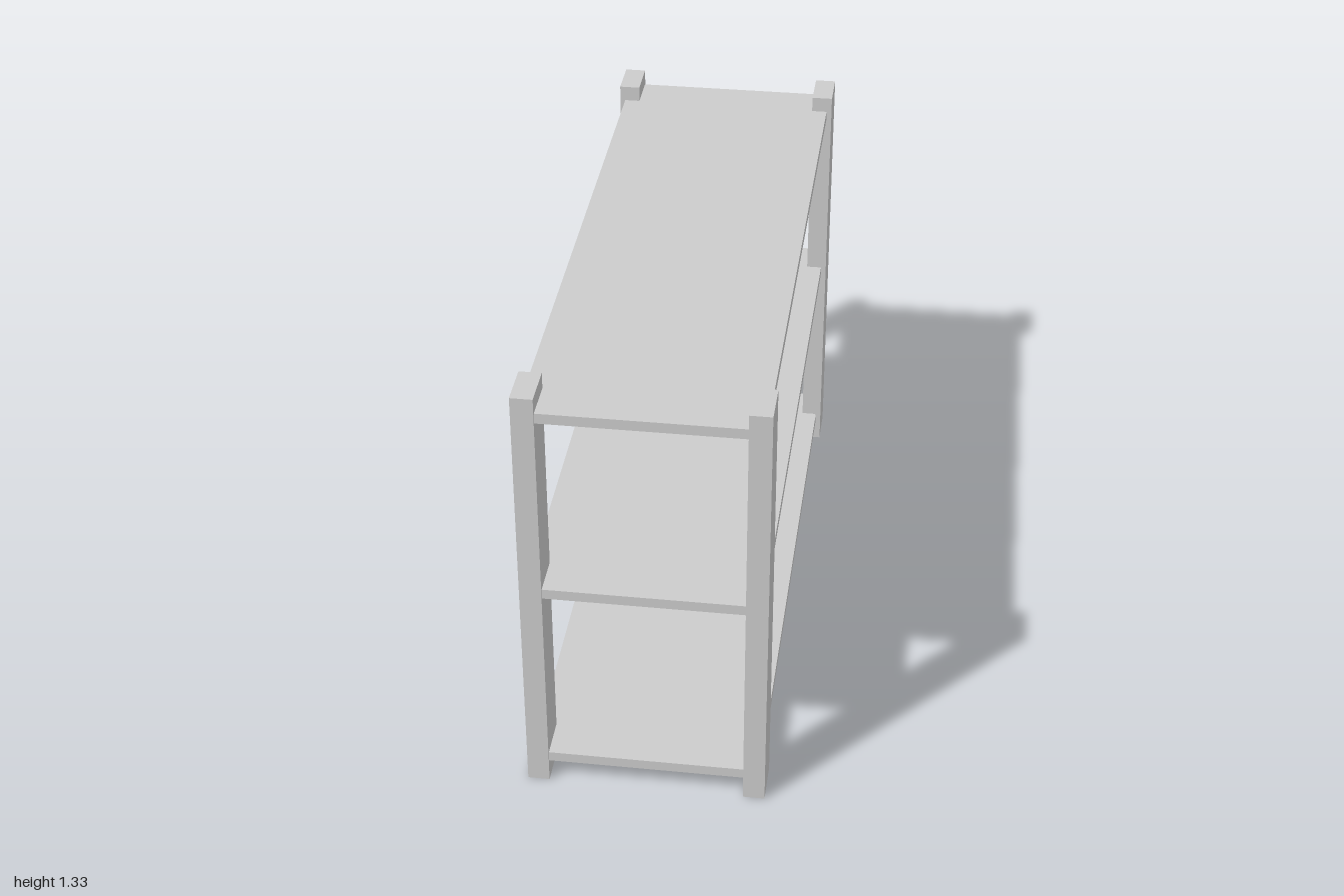
import * as THREE from 'three';

export function createModel() {
  const group = new THREE.Group();
  group.name = 'shelfUnit';
  const material = new THREE.MeshStandardMaterial({ color: 0xcccccc });

  const addBox = (name, size, position) => {
    const mesh = new THREE.Mesh(new THREE.BoxGeometry(...size), material);
    mesh.name = name;
    mesh.position.set(...position);
    group.add(mesh);
  };

  // Four corner posts
  const postHeight = 1.327, postWidth = 0.063, postDepth = 0.131;
  for (const [side, sx] of [['Left', 1], ['Right', -1]]) {
    for (const [end, sz] of [['front', 1], ['back', -1]]) {
      addBox(`${end}${side}Post`, [postWidth, postHeight, postDepth],
        [sx * (0.347 - postWidth / 2), postHeight / 2, sz * (1 - postDepth / 2)]);
    }
  }

  // Three shelves, their corners let into the posts
  const shelves = { bottomShelf: 0.083, middleShelf: 0.68, topShelf: 1.264 };
  for (const [name, y] of Object.entries(shelves)) {
    addBox(name, [0.662, 0.031, 1.987], [0, y, 0]);
  }

  return group;
}
